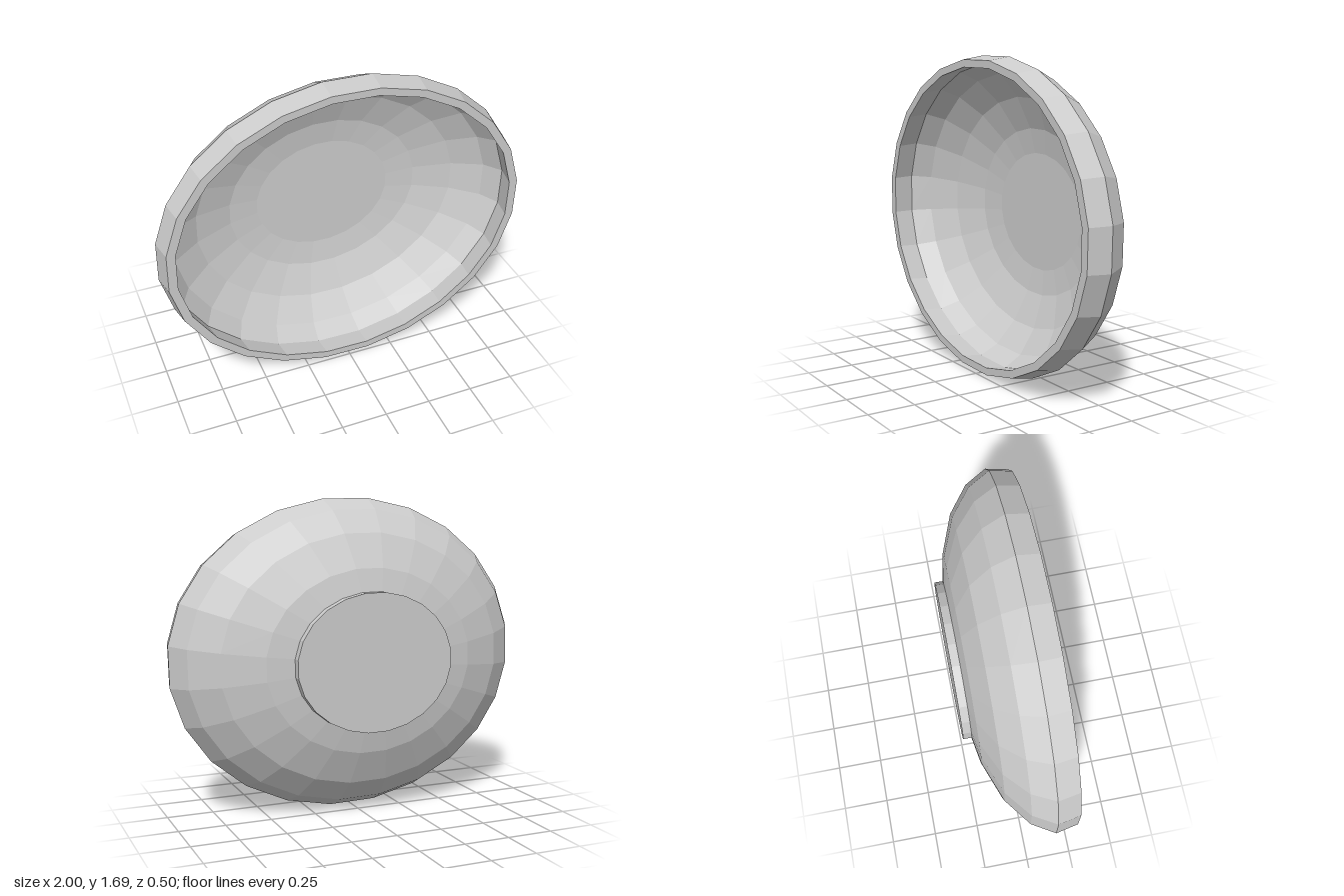
import * as THREE from 'three';

const SIDES = 24;
const TWIST = THREE.MathUtils.degToRad(6.4);
const RX = 1.006, RY = 0.85;

// Faceted oval ring body: profile of [radius, depth], turned around the z axis
function ovalLathe(name, profile, material) {
  const points = profile.map(([r, z]) => new THREE.Vector2(r, z));
  const geometry = new THREE.LatheGeometry(points, SIDES, TWIST);
  geometry.rotateX(Math.PI / 2);
  geometry.scale(RX, RY, 1);
  geometry.translate(0, 0.845, 0);
  const mesh = new THREE.Mesh(geometry, material);
  mesh.name = name;
  return mesh;
}

export function createModel() {
  const group = new THREE.Group();
  group.name = 'ovalBowl';
  const material = new THREE.MeshStandardMaterial({ color: 0xcccccc, flatShading: true });

  // Bowl wall: outside from the foot up, over the flat rim, inside down to the floor
  group.add(ovalLathe('bowl', [
    [0.43, -0.205], [0.575, -0.18], [0.787, -0.1], [0.93, 0.01], [1, 0.13], [0.976, 0.25],
    [0.929, 0.25], [0.952, 0.13], [0.89, 0.03], [0.74, -0.07], [0.538, -0.14], [0.379, -0.16], [0, -0.16],
  ], material));

  // Short foot with a closed flat underside
  group.add(ovalLathe('foot', [[0, -0.25], [0.432, -0.25], [0.432, -0.2]], material));

  return group;
}
